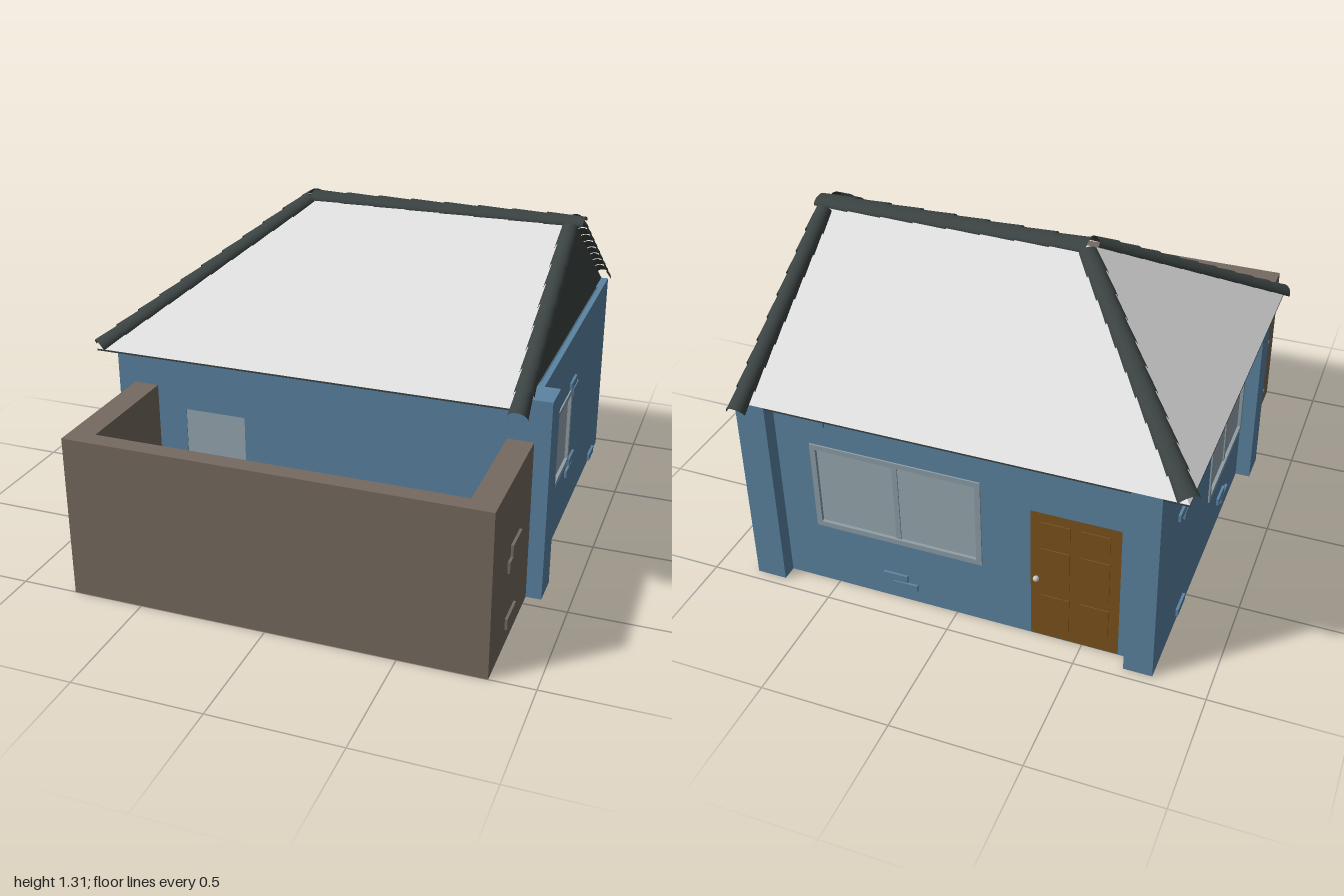
import * as THREE from 'three';

const mat = (name, color, side = THREE.FrontSide) =>
  Object.assign(new THREE.MeshStandardMaterial({ color, side }), { name });

export function createModel() {
  const blue = mat('bluePaint', 0x5b84a2);
  const brown = mat('brownWall', 0x766a60);
  const green = mat('grass', 0x53a065);
  const white = mat('roofWhite', 0xe0e0e0, THREE.DoubleSide);
  const dark = mat('darkTile', 0x3b4342, THREE.DoubleSide);
  const frameGrey = mat('frameGrey', 0x8f9fa8);
  const glass = mat('paneGrey', 0x98a9b2);
  const wood = mat('doorWood', 0x7c521c);
  const silver = mat('knobSilver', 0xc8c8c8);
  const model = new THREE.Group();
  model.name = 'house';

  const add = (parent, geo, material, name) => {
    const m = new THREE.Mesh(geo, material);
    m.name = name;
    parent.add(m);
    return m;
  };
  // Box given by its limits on each axis
  const box = (parent, name, material, x0, x1, y0, y1, z0, z1) => {
    const m = add(parent, new THREE.BoxGeometry(x1 - x0, y1 - y0, z1 - z0), material, name);
    m.position.set((x0 + x1) / 2, (y0 + y1) / 2, (z0 + z1) / 2);
    return m;
  };
  const rect = (Type, x0, x1, y0, y1) => new Type(
    [[x0, y0], [x1, y0], [x1, y1], [x0, y1]].map(([x, y]) => new THREE.Vector2(x, y)));
  const plate = (x0, x1, y0, y1, holes, depth) => {
    const s = rect(THREE.Shape, x0, x1, y0, y1);
    s.holes = holes.map(h => rect(THREE.Path, ...h));
    return new THREE.ExtrudeGeometry(s, { depth, bevelEnabled: false });
  };

  // Walls, drawn flat in x and y, then turned into place
  const T = 0.02, H = 0.81;
  const wall = (name, x0, x1, holes, x, z, turn) => {
    const g = new THREE.Group();
    g.name = name;
    g.position.set(x, 0, z);
    g.rotation.y = turn;
    add(g, plate(x0, x1, 0, H, holes, T), blue, name + 'Panel');
    model.add(g);
    return g;
  };
  const sideWin = [-0.23, 0.31, 0.25, 0.58], backWin = [-0.11, 0.57, 0.27, 0.65];
  const patio = [-0.56, -0.31, 0.002, 0.56], door = [-0.64, -0.3, 0.002, 0.58];
  const right = wall('rightWall', -0.9, 0.45, [sideWin], 0.83, 0, -Math.PI / 2);
  const left = wall('leftWall', -0.9, 0.45, [sideWin], -0.79 + T, 0, -Math.PI / 2);
  const back = wall('backWall', -0.79, 0.83, [backWin, door], 0, -0.9, 0);
  const front = wall('frontWall', -0.79, 0.83, [patio], 0, 0.45 - T, 0);

  // Two-pane sliding windows
  const slidingWindow = (parent, [x0, x1, y0, y1]) => {
    const b = 0.022, mid = (x0 + x1) / 2;
    const outer = add(parent, plate(x0, x1, y0, y1, [[x0 + b, x1 - b, y0 + b, y1 - b]], T + 0.012), frameGrey, 'windowFrame');
    outer.position.z = -0.006;
    box(parent, 'windowDivider', frameGrey, mid - 0.01, mid + 0.01, y0 + b, y1 - b, 0.002, T - 0.002);
    box(parent, 'windowPane', glass, x0 + b, x1 - b, y0 + b, y1 - b, T / 2 - 0.003, T / 2 + 0.003);
  };
  slidingWindow(right, sideWin);
  slidingWindow(left, sideWin);
  slidingWindow(back, backWin);
  box(front, 'patioDoor', glass, ...patio, 0.002, T - 0.002);

  // Wooden door with raised panels and a knob on both sides
  box(back, 'woodDoor', wood, ...door, 0, T);
  for (const z of [-0.004, T])
    for (const x of [-0.6, -0.45])
      for (const [y0, y1] of [[0.05, 0.2], [0.25, 0.42], [0.46, 0.54]])
        box(back, 'doorPanel', wood, x, x + 0.11, y0, y1, z, z + 0.004);
  for (const z of [-0.012, T + 0.012]) {
    const knob = add(back, new THREE.SphereGeometry(0.012, 12, 8), silver, 'doorKnob');
    knob.position.set(-0.325, 0.28, z);
  }

  // Corner columns
  for (const [x0, x1, z0, z1] of [[0.76, 0.89, 0.32, 0.45], [-0.85, -0.72, 0.32, 0.45],
    [0.71, 0.83, -0.96, -0.83], [-0.79, -0.68, -0.96, -0.83]])
    box(model, 'cornerColumn', blue, x0, x1, 0, H, z0, z1);

  // Walled yard with a lawn
  box(model, 'yardWallLeft', brown, -0.78, -0.68, 0, 0.645, 0.42, 1);
  box(model, 'yardWallRight', brown, 0.73, 0.83, 0, 0.645, 0.451, 1);
  box(model, 'yardWallFront', brown, -0.68, 0.73, 0, 0.645, 0.93, 1);
  box(model, 'lawn', green, -0.68, 0.73, 0.002, 0.02, 0.451, 0.93);

  // Loose bricks standing a little out of the walls: [z or x start, y start]
  const bricks = (list, material, w, h, place) => list.forEach(([a, y]) => {
    const [x0, x1, z0, z1] = place(a, a + w);
    box(model, 'brick', material, x0, x1, y, y + h, z0, z1);
  });
  bricks([[-0.29, 0.585], [-0.33, 0.545], [-0.33, 0.225], [-0.29, 0.19], [-0.84, 0.01]],
    blue, 0.1, 0.03, (a, b) => [0.82, 0.84, a, b]);
  bricks([[-0.72, 0.53], [-0.65, 0.49], [-0.66, 0.03], [-0.06, 0.11], [0, 0.075]],
    blue, 0.1, 0.03, (a, b) => [-0.8, -0.78, a, b]);
  bricks([[0.5, 0.74], [0.2, 0.09], [0.16, 0.055]],
    blue, 0.1, 0.03, (a, b) => [a, b, -0.91, -0.89]);
  bricks([[0.66, 0.295], [0.62, 0.34], [0.66, 0.065]],
    brown, 0.125, 0.045, (a, b) => [0.82, 0.84, a, b]);
  bricks([[0.67, 0.39], [0.71, 0.345], [0.67, 0.125], [0.71, 0.08], [0.5, 0.005]],
    brown, 0.12, 0.045, (a, b) => [-0.795, -0.77, a, b]);

  // Roof: three slopes and a gable, each a flat polygon
  const V = (x, y, z) => new THREE.Vector3(x, y, z);
  const FL = V(-0.88, H, 0.55), FR = V(0.8, H, 0.55), BL = V(-0.88, H, -0.96), BR = V(0.8, H, -0.96);
  const R0 = V(-0.27, 1.28, -0.205), R1 = V(0.8, 1.28, -0.205);
  const face = (name, material, pts) => {
    const tris = [];
    for (let i = 1; i < pts.length - 1; i++) tris.push(pts[0], pts[i], pts[i + 1]);
    const g = new THREE.BufferGeometry().setFromPoints(tris);
    g.computeVertexNormals();
    add(model, g, material, name);
  };
  face('roofFront', white, [FL, FR, R1, R0]);
  face('roofBack', white, [BR, BL, R0, R1]);
  face('roofLeft', white, [BL, FL, R0]);
  face('gable', dark, [FR, BR, R1]);

  // Dark soffit under the overhang
  const soffit = add(model, plate(-0.88, 0.8, -0.55, 0.96, [[-0.79, 0.79, -0.45, 0.9]], 0.006), dark, 'soffit');
  soffit.rotation.x = -Math.PI / 2;
  soffit.position.y = H - 0.007;

  // Rows of overlapping half-round tiles running downhill from a to b
  const tileRow = (name, a, b, count, r, flat, lift) => {
    const row = new THREE.Group();
    row.name = name;
    const d = b.clone().sub(a), step = d.length() / count;
    d.normalize();
    const n = V(0, 1, 0).addScaledVector(d, -d.y).normalize();
    const s = d.clone().cross(n);
    row.quaternion.setFromRotationMatrix(new THREE.Matrix4().makeBasis(s, d, n));
    row.position.copy(a).addScaledVector(n, lift);
    for (let i = 0; i < count; i++) {
      const geo = new THREE.CylinderGeometry(r, r * 0.84, step * 1.1, 12, 1, true, -Math.PI / 2, Math.PI);
      geo.scale(1, 1, flat);
      add(row, geo, dark, 'tile').position.y = step * (i + 0.45);
    }
    model.add(row);
  };
  tileRow('ridgeTiles', V(0.83, 1.276, -0.205), V(-0.27, 1.276, -0.205), 8, 0.055, 0.53, 0);
  tileRow('gableTilesFront', V(0.797, 1.25, -0.155), V(0.797, 0.785, 0.59), 9, 0.038, 1, 0.012);
  tileRow('gableTilesBack', V(0.797, 1.25, -0.255), V(0.797, 0.785, -1), 9, 0.038, 1, 0.012);
  tileRow('hipTilesFront', V(-0.28, 1.27, -0.165), V(-0.875, 0.812, 0.535), 10, 0.042, 0.8, 0);
  tileRow('hipTilesBack', V(-0.28, 1.27, -0.245), V(-0.875, 0.812, -0.945), 10, 0.042, 0.8, 0);

  return model;
}
